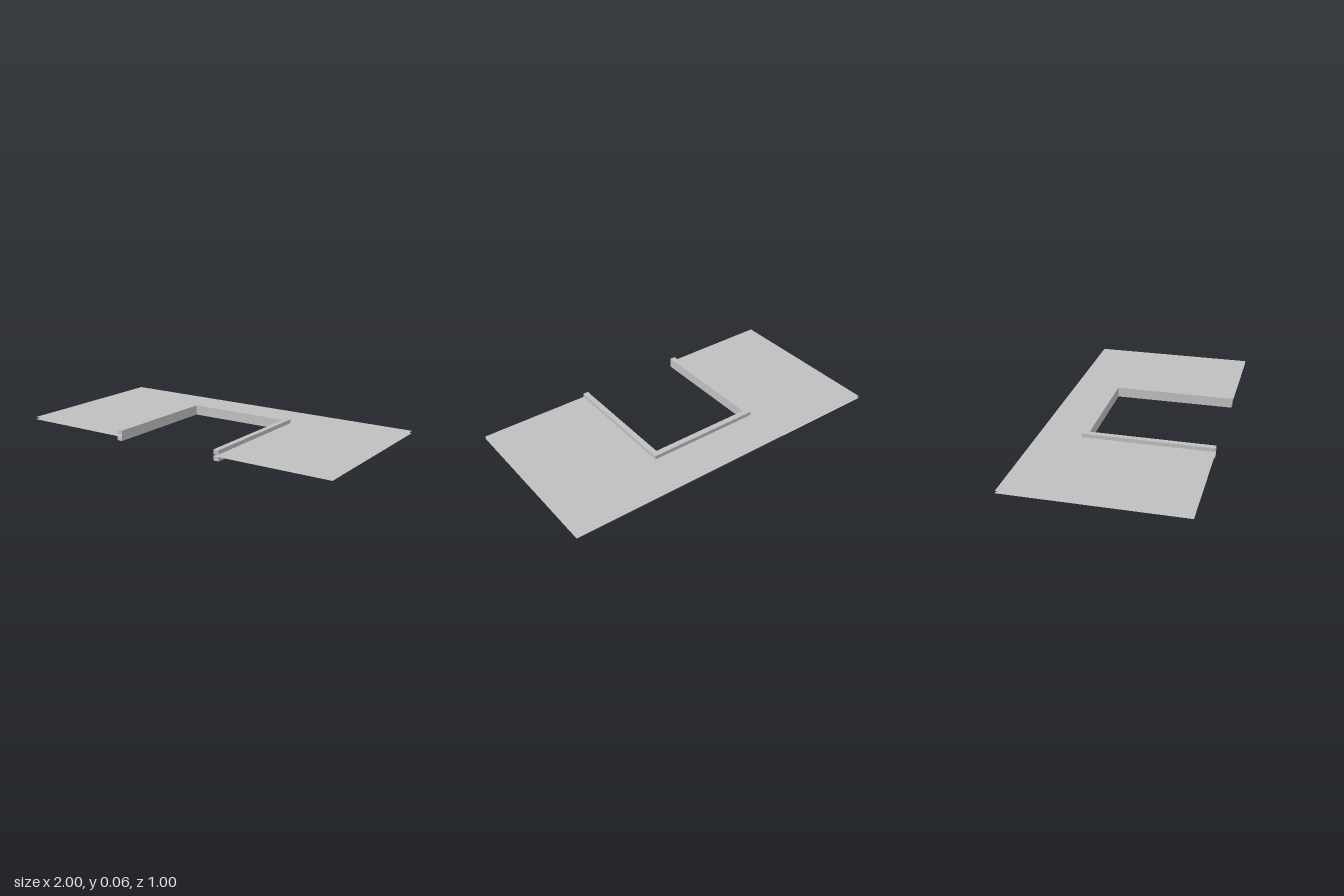
import * as THREE from 'three';

// U-shaped outline open toward +z (shape y is -z)
function uShape(outerX, outerBack, innerX, innerBack) {
  const front = -0.5;
  return new THREE.Shape([
    [-outerX, front], [-innerX, front], [-innerX, innerBack], [innerX, innerBack],
    [innerX, front], [outerX, front], [outerX, outerBack], [-outerX, outerBack],
  ].map(([x, y]) => new THREE.Vector2(x, y)));
}

export function createModel() {
  const model = new THREE.Group();
  const grey = new THREE.MeshStandardMaterial({ color: 0xbfbfbf, side: THREE.DoubleSide });
  grey.name = 'light grey';

  const add = (name, geometry, y) => {
    geometry.rotateX(-Math.PI / 2);
    const mesh = new THREE.Mesh(geometry, grey);
    mesh.name = name;
    mesh.position.y = y;
    model.add(mesh);
  };
  const extrude = (shape, depth) => new THREE.ExtrudeGeometry(shape, { depth, bevelEnabled: false });

  const innerX = 0.3125, innerBack = 0.215, height = 0.06;
  const grooveLow = 0.023, grooveHigh = 0.037;

  // Edge frame: two flanges joined by a thin web, leaving a groove outside
  const flange = uShape(0.345, 0.25, innerX, innerBack);
  add('lowerFlange', extrude(flange, grooveLow), 0);
  add('upperFlange', extrude(flange, height - grooveHigh), grooveHigh);
  const web = uShape(innerX + 0.002, innerBack + 0.002, innerX, innerBack);
  add('frameWeb', extrude(web, grooveHigh - grooveLow), grooveLow);

  // Panel: two open sheets held in the groove
  const panel = uShape(1, 0.5, innerX + 0.002, innerBack + 0.002);
  add('panelBottom', new THREE.ShapeGeometry(panel), grooveLow + 0.0005);
  add('panelTop', new THREE.ShapeGeometry(panel), grooveHigh - 0.0005);

  return model;
}
